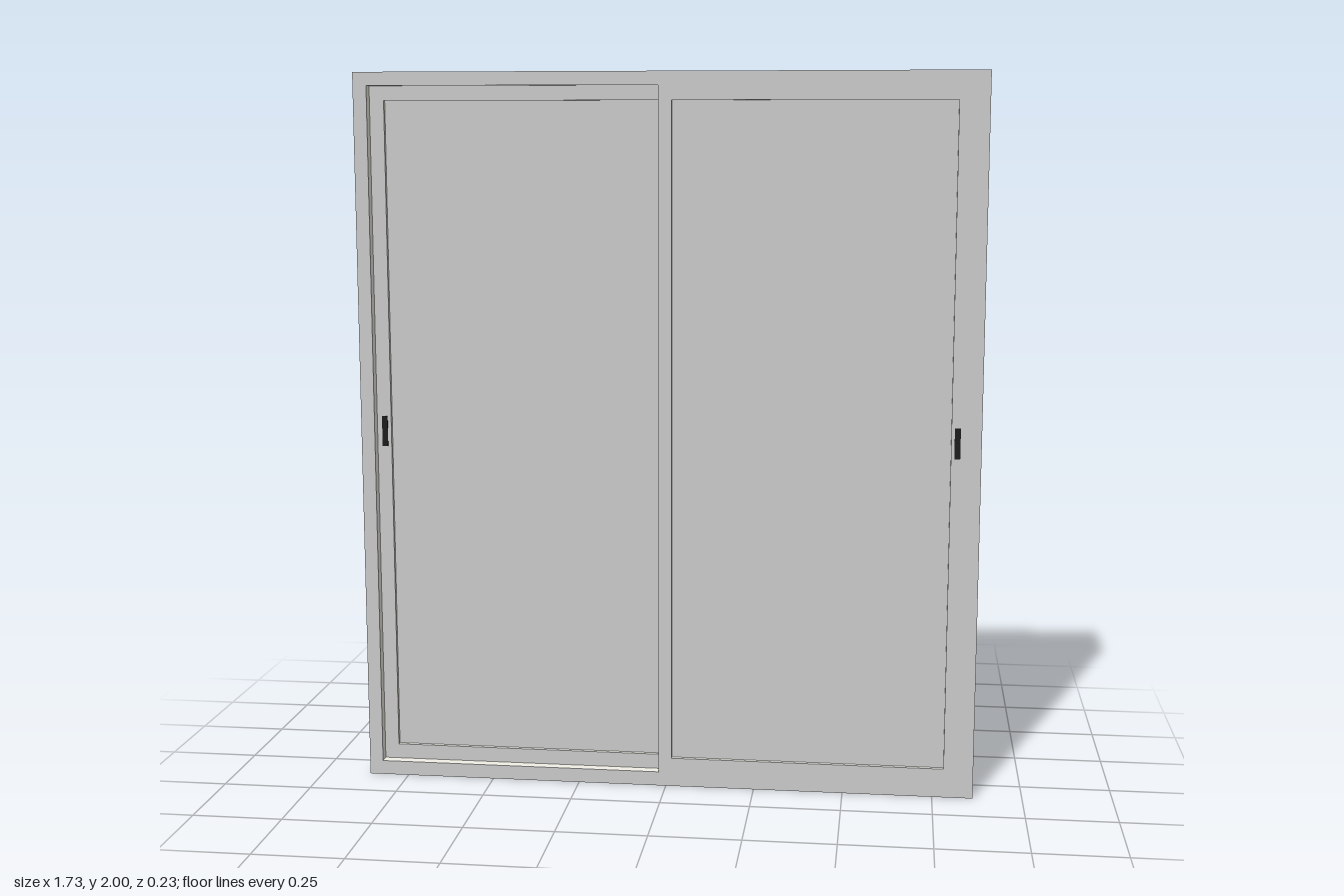
import * as THREE from 'three';

const ivory = new THREE.MeshStandardMaterial({ color: 0xf2f0e6 });
const grey = new THREE.MeshStandardMaterial({ color: 0xcccccc });
const black = new THREE.MeshStandardMaterial({ color: 0x1c1c1c });

const rect = (C, [x0, x1, y0, y1]) =>
  new C([[x0, y0], [x1, y0], [x1, y1], [x0, y1]].map(p => new THREE.Vector2(...p)));

// Rectangular ring extruded from z0 to z1
function ring(name, outer, inner, z0, z1, material) {
  const shape = rect(THREE.Shape, outer);
  shape.holes.push(rect(THREE.Path, inner));
  const geo = new THREE.ExtrudeGeometry(shape, { depth: z1 - z0, bevelEnabled: false });
  geo.translate(0, 0, z0);
  const mesh = new THREE.Mesh(geo, material);
  mesh.name = name;
  return mesh;
}

// Solid block filling a rectangle from z0 to z1
function block(name, [x0, x1, y0, y1], z0, z1, material) {
  const mesh = new THREE.Mesh(new THREE.BoxGeometry(x1 - x0, y1 - y0, z1 - z0), material);
  mesh.position.set((x0 + x1) / 2, (y0 + y1) / 2, (z0 + z1) / 2);
  mesh.name = name;
  return mesh;
}

// Ring with an ivory body and a thin grey cladding on its front
function cladRing(name, outer, inner, zBack, zFront) {
  const group = new THREE.Group();
  group.name = name;
  const zClad = zFront - 0.004;
  group.add(ring(name + 'Body', outer, inner, zBack, zClad, ivory));
  group.add(ring(name + 'Cladding', outer, inner, zClad, zFront, grey));
  return group;
}

// Sliding sash: clad ring, recessed pane and pull handle
function sash(name, outer, inner, zFront, handleX) {
  const zBack = zFront - 0.03, zMid = zFront - 0.015;
  const group = cladRing(name, outer, inner, zBack, zFront);
  group.add(block(name + 'Pane', inner, zMid - 0.003, zMid + 0.003, grey));
  group.add(block(name + 'Handle', [handleX - 0.008, handleX + 0.008, 0.96, 1.045],
    zFront - 0.005, zFront + 0.002, black));
  return group;
}

export function createModel() {
  const model = new THREE.Group();
  model.name = 'slidingWindow';

  // Deep outer frame
  model.add(cladRing('outerFrame', [-0.863, 0.863, 0, 2], [-0.825, 0.825, 0.04, 1.963], -0.114, 0.112));

  // Left sash sits flush with the front, right sash slides behind it
  model.add(sash('leftSash', [-0.02, 0.825, 0.04, 1.963], [0.016, 0.781, 0.082, 1.923], 0.112, 0.798));
  model.add(sash('rightSash', [-0.825, 0.02, 0.04, 1.963], [-0.785, -0.019, 0.082, 1.923], 0.082, -0.803));

  return model;
}
